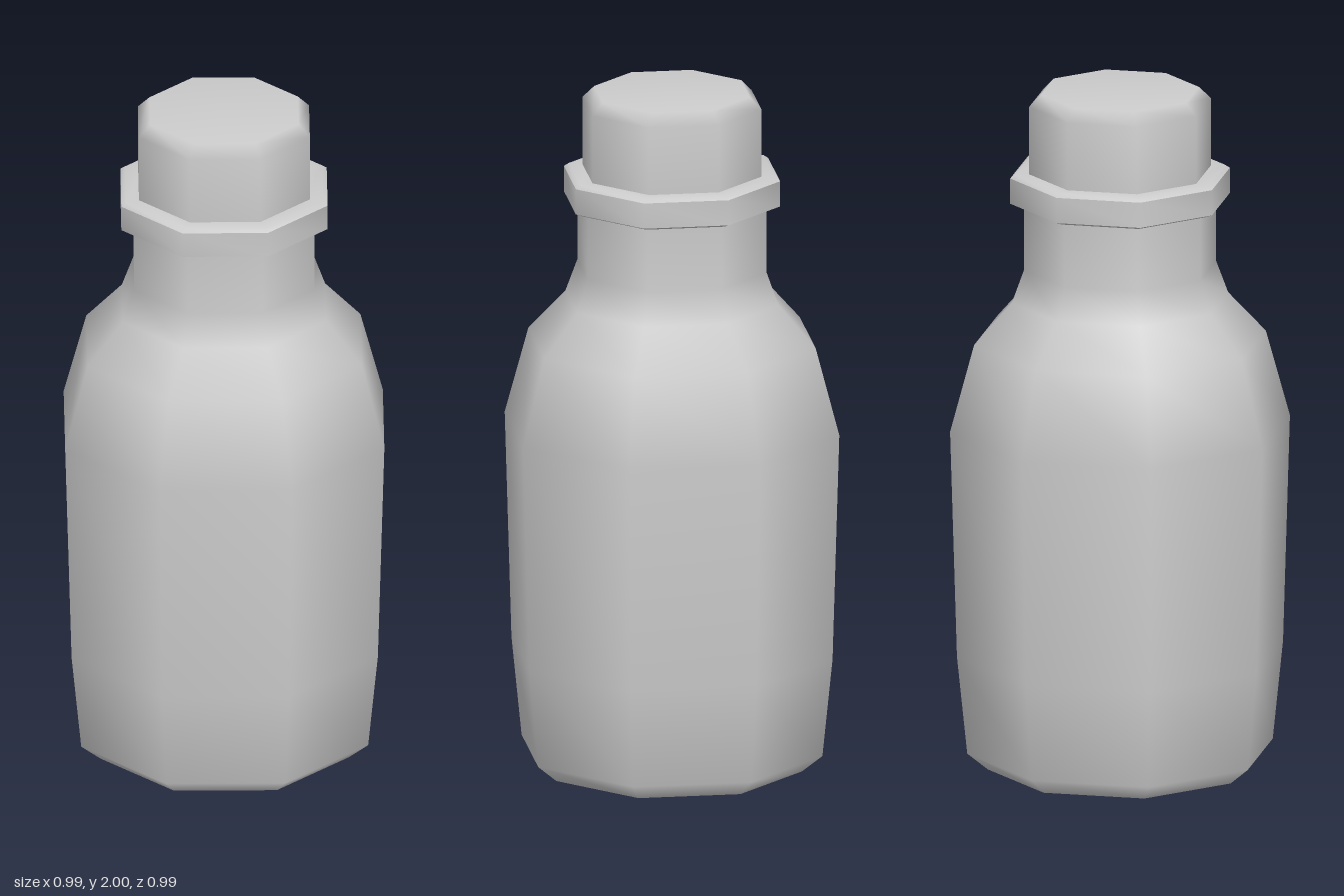
import * as THREE from 'three';
import { toCreasedNormals } from 'three/addons/utils/BufferGeometryUtils.js';

const SIDES = 8;

export function createModel() {
  const group = new THREE.Group();
  const material = new THREE.MeshStandardMaterial({ color: 0xcccccc });

  const add = (name, geometry) => {
    const mesh = new THREE.Mesh(geometry, material);
    mesh.name = name;
    group.add(mesh);
    return mesh;
  };
  // Eight-sided turned shape from [radius, height] pairs, bottom to top
  const turned = (profile) =>
    new THREE.LatheGeometry(profile.map(([r, y]) => new THREE.Vector2(r, y)), SIDES);

  // Body, shoulder and neck in one smooth surface
  add('body', turned([
    [0.385, 0], [0.445, 0.05], [0.475, 0.34], [0.495, 1.01],
    [0.425, 1.265], [0.315, 1.385], [0.28, 1.48], [0.28, 1.7],
  ]));

  // Flat underside with a crisp rim
  const base = add('base', new THREE.CircleGeometry(0.385, SIDES));
  base.rotation.x = Math.PI / 2;

  // Collar ring with sharp edges
  add('collar', toCreasedNormals(turned([
    [0.26, 1.67], [0.295, 1.67], [0.32, 1.68], [0.32, 1.755],
    [0.305, 1.765], [0.25, 1.765],
  ]), 0.85));

  // Stopper with a softly bevelled top
  add('stopper', turned([
    [0.265, 1.75], [0.265, 1.965], [0.23, 2], [0, 2],
  ]));

  return group;
}
